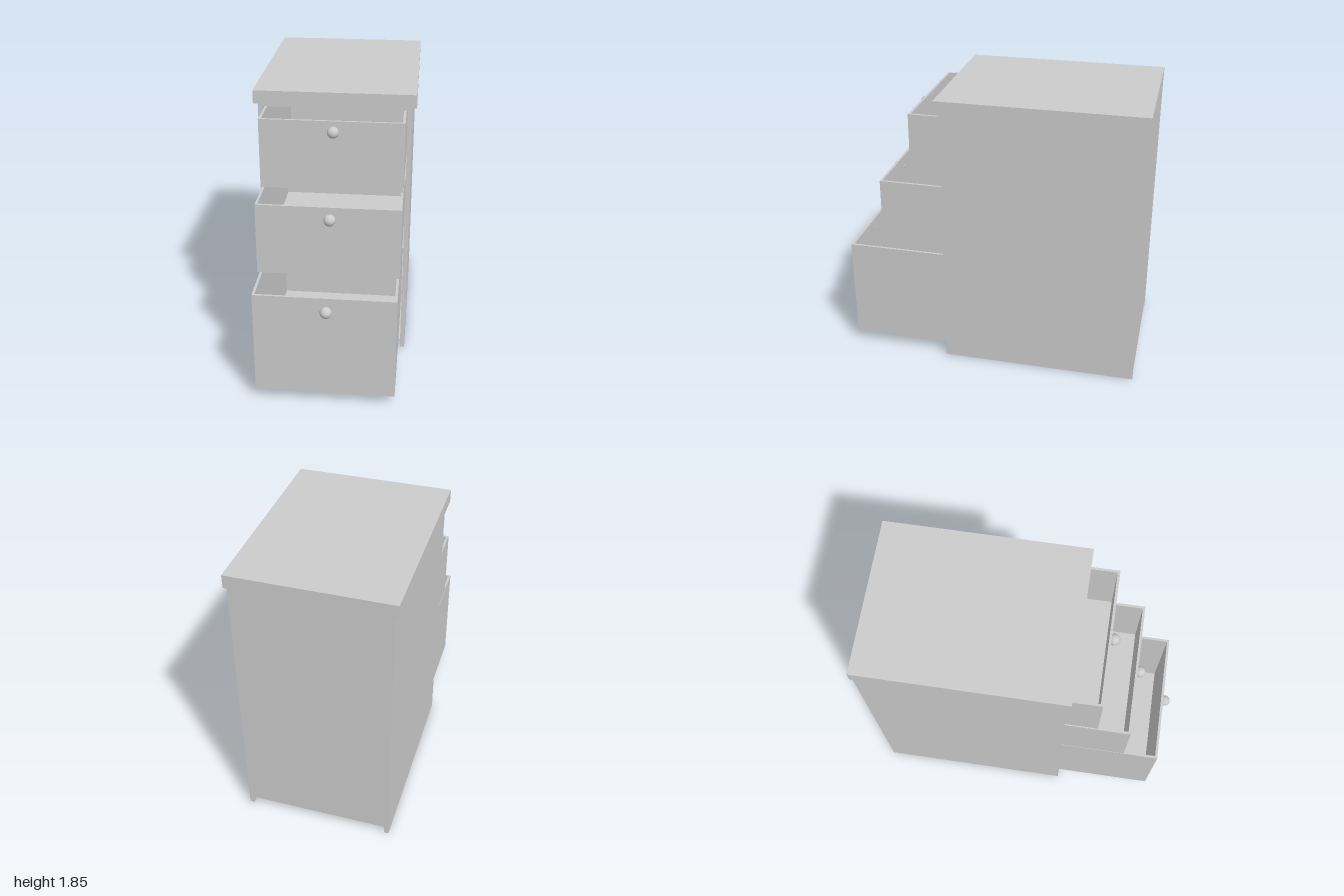
import * as THREE from 'three';

const grey = new THREE.MeshStandardMaterial({ color: 0xcccccc });

// Box given by its limits on each axis
function panel(name, [x0, x1], [y0, y1], [z0, z1]) {
  const mesh = new THREE.Mesh(new THREE.BoxGeometry(x1 - x0, y1 - y0, z1 - z0), grey);
  mesh.position.set((x0 + x1) / 2, (y0 + y1) / 2, (z0 + z1) / 2);
  mesh.name = name;
  return mesh;
}

// Open-topped drawer with a round knob
function makeDrawer({ name, half, bottom, top, front, knobY }) {
  const t = 0.016, depth = 1.22, back = front - depth;
  const inner = [-half + t, half - t];
  const g = new THREE.Group();
  g.name = name;
  g.add(
    panel('drawerFloor', inner, [bottom, bottom + t], [back + t, front - t]),
    panel('drawerFront', [-half, half], [bottom, top], [front - t, front]),
    panel('drawerBack', inner, [bottom, top], [back, back + t]),
    panel('drawerSideRight', [-half, -half + t], [bottom, top], [back, front - t]),
    panel('drawerSideLeft', [half - t, half], [bottom, top], [back, front - t]),
  );
  const knob = new THREE.Mesh(new THREE.SphereGeometry(0.037, 32, 20), grey);
  knob.position.set(0.012, knobY, front + 0.018);
  knob.name = 'knob';
  g.add(knob);
  return g;
}

export function createModel() {
  const model = new THREE.Group();
  model.name = 'drawerCabinet';

  const W = 0.485, inX = 0.455, front = 0.285, back = -1, inBack = -0.97;

  // Carcass: side panels reach the ground, everything between is raised
  model.add(
    panel('sideRight', [-W, -inX], [0, 1.765], [back, front]),
    panel('sideLeft', [inX, W], [0, 1.765], [back, front]),
    panel('backPanel', [-inX, inX], [0.053, 1.765], [back, inBack]),
    panel('bottomPanel', [-inX, inX], [0.053, 0.063], [inBack, front]),
    panel('upperPanel', [-inX, inX], [1.74, 1.765], [inBack, front]),
    panel('worktop', [-0.51, 0.51], [1.765, 1.85], [back, 0.315]),
  );

  // Shelves separating the drawers
  for (const [y0, y1] of [[0.767, 0.781], [1.262, 1.275]]) {
    model.add(panel('divider', [-inX, inX], [y0, y1], [inBack, front]));
  }

  // Drawers pulled out like steps
  const drawers = [
    { name: 'bottomDrawer', half: 0.443, bottom: 0.068, top: 0.76, front: 0.945, knobY: 0.673 },
    { name: 'middleDrawer', half: 0.448, bottom: 0.788, top: 1.256, front: 0.71, knobY: 1.18 },
    { name: 'topDrawer', half: 0.447, bottom: 1.28, top: 1.73, front: 0.497, knobY: 1.665 },
  ];
  for (const d of drawers) model.add(makeDrawer(d));

  return model;
}
